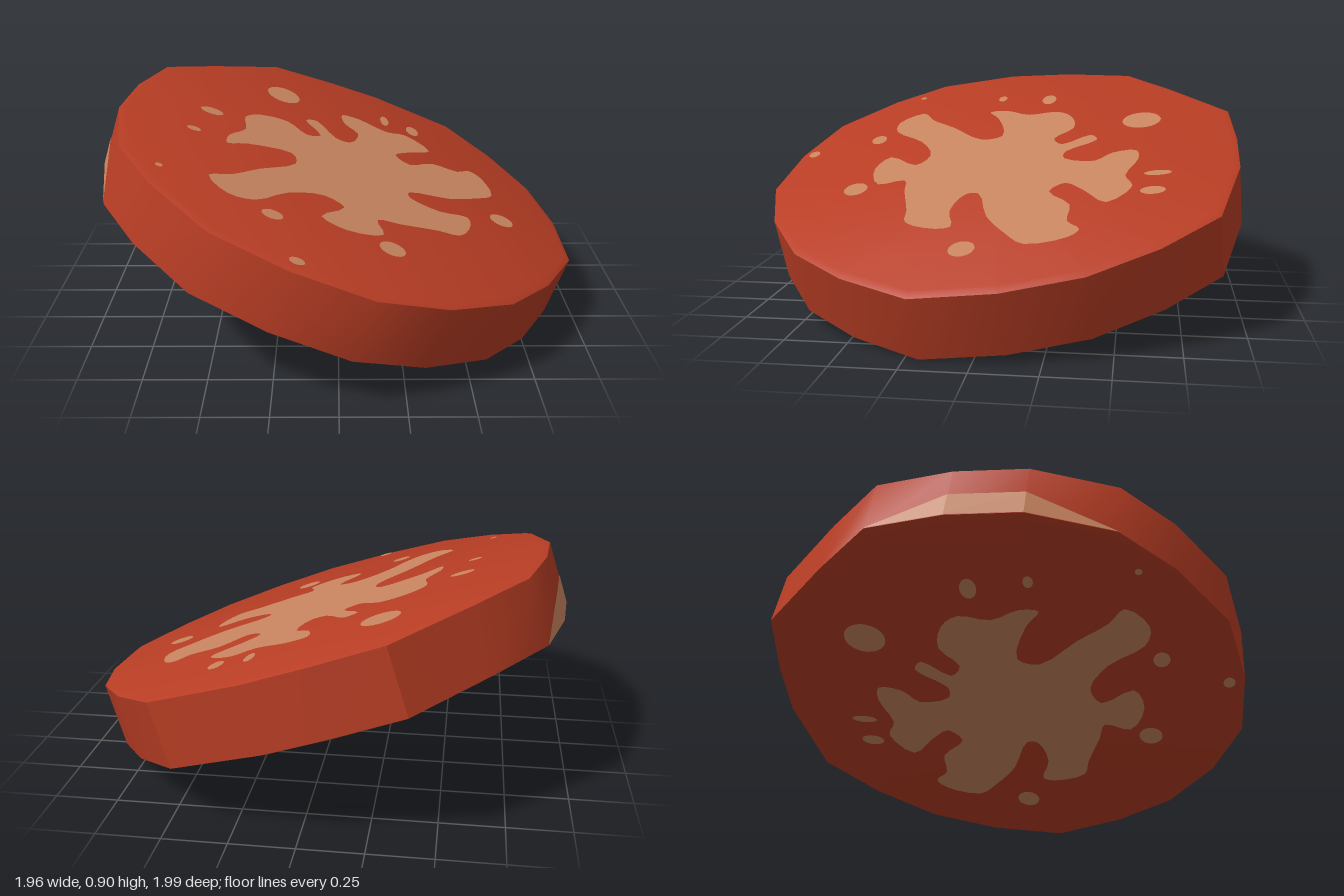
import * as THREE from 'three';
import { toCreasedNormals } from 'three/addons/utils/BufferGeometryUtils.js';

const THICK = 0.264, BEVEL = 0.011;
const CENTRE = [0.03, 0.01];
const AXIS = new THREE.Vector3(0.33, 1, 0.09).normalize();

// Outline of the upper rim seen from above, x and z
const RIM = [
  [-0.31, -0.96], [-0.04, -0.98], [0.2, -0.975], [0.56, -0.88], [0.75, -0.66],
  [0.9, -0.4], [0.97, -0.1], [0.975, 0.22], [0.83, 0.5], [0.65, 0.73],
  [0.4, 0.9], [0.13, 0.99], [-0.17, 0.96], [-0.46, 0.86], [-0.69, 0.64],
  [-0.84, 0.42], [-0.9, 0.08], [-0.87, -0.21], [-0.79, -0.51], [-0.59, -0.71],
];

// Closed outline of the large central spot, x and z
const SPOT = [
  [0.02, -0.56], [0.1, -0.57], [0.23, -0.52], [0.32, -0.55], [0.43, -0.45], [0.33, -0.36],
  [0.26, -0.28], [0.32, -0.22], [0.43, -0.31], [0.55, -0.31], [0.61, -0.36], [0.66, -0.32],
  [0.69, -0.16], [0.61, -0.08], [0.48, 0.01], [0.3, 0.07], [0.3, 0.12], [0.42, 0.165],
  [0.54, 0.14], [0.55, 0.2], [0.49, 0.33], [0.4, 0.345], [0.24, 0.39], [0.15, 0.41],
  [0.17, 0.52], [0.03, 0.57], [-0.07, 0.52], [0.02, 0.39], [-0.06, 0.34], [-0.2, 0.41],
  [-0.32, 0.55], [-0.42, 0.56], [-0.5, 0.46], [-0.42, 0.4], [-0.32, 0.28], [-0.18, 0.13],
  [-0.2, 0.04], [-0.38, 0.08], [-0.46, 0.13], [-0.46, 0.05], [-0.4, -0.06], [-0.41, -0.19],
  [-0.35, -0.26], [-0.23, -0.28], [-0.14, -0.2], [-0.08, -0.24], [-0.15, -0.36], [-0.1, -0.39],
  [-0.01, -0.26], [0.05, -0.26], [0.09, -0.39], [0.03, -0.46],
];

// Small spots: x, z, radius along x, radius along z
const DROPS = [
  [-0.26, -0.58, 0.075, 0.085], [-0.55, -0.14, 0.048, 0.033], [-0.6, 0.09, 0.028, 0.02],
  [-0.68, 0.5, 0.014, 0.014], [-0.25, 0.62, 0.04, 0.034], [-0.15, 0.9, 0.028, 0.024],
  [0.2, 0.61, 0.05, 0.05], [0.7, 0.07, 0.05, 0.05], [0.225, -0.65, 0.02, 0.055],
  [0.36, -0.63, 0.03, 0.05],
];

// A point on the sloping upper plane, moved by t along the axis of the disc
function onSlope(x, z, t, scale = 1) {
  const px = CENTRE[0] + (x - CENTRE[0]) * scale;
  const pz = CENTRE[1] + (z - CENTRE[1]) * scale;
  return new THREE.Vector3(px, 0.5916 - 0.33 * px - 0.09 * pz, pz).addScaledVector(AXIS, t);
}

function discGeometry() {
  const rings = [[0.97, BEVEL], [1, 0], [1, -THICK], [0.97, -THICK - BEVEL]]
    .map(([s, t]) => RIM.map(([x, z]) => onSlope(x, z, t, s)));
  const top = onSlope(...CENTRE, BEVEL), bottom = onSlope(...CENTRE, -THICK - BEVEL);
  const pts = [];
  for (let i = 0; i < RIM.length; i++) {
    const j = (i + 1) % RIM.length;
    pts.push(top, rings[0][j], rings[0][i], bottom, rings[3][i], rings[3][j]);
    for (let k = 0; k < 3; k++) {
      const u = rings[k], l = rings[k + 1];
      pts.push(u[i], u[j], l[j], u[i], l[j], l[i]);
    }
  }
  return toCreasedNormals(new THREE.BufferGeometry().setFromPoints(pts), 0.55);
}

// Lays a flat shape on the slope at height t
function layOnSlope(shape, t) {
  const geo = new THREE.ShapeGeometry(shape, 12);
  const pos = geo.attributes.position;
  for (let i = 0; i < pos.count; i++) {
    const p = onSlope(pos.getX(i), -pos.getY(i), t);
    pos.setXYZ(i, p.x, p.y, p.z);
  }
  geo.computeVertexNormals();
  return geo;
}

export function createModel() {
  const red = new THREE.MeshStandardMaterial({ color: 0xb83d24 });
  red.name = 'brickRed';
  const tan = new THREE.MeshStandardMaterial({ color: 0xc88560, side: THREE.DoubleSide });
  tan.name = 'paleTan';

  const model = new THREE.Group();
  model.name = 'slice';
  const add = (name, geo, mat) => {
    const mesh = new THREE.Mesh(geo, mat);
    mesh.name = name;
    model.add(mesh);
  };

  add('disc', discGeometry(), red);

  // Spots repeated on both faces
  const curve = new THREE.CatmullRomCurve3(SPOT.map(([x, z]) => new THREE.Vector3(x, -z, 0)), true);
  const spot = new THREE.Shape(curve.getPoints(SPOT.length * 3).slice(0, -1)
    .map((p) => new THREE.Vector2(p.x, p.y)));
  const drops = DROPS.map(([x, z, rx, rz]) =>
    new THREE.Shape().absellipse(x, -z, rx, rz, 0, Math.PI * 2));
  for (const [face, t] of [['top', BEVEL + 0.003], ['bottom', -THICK - BEVEL - 0.003]]) {
    add(face + 'Spot', layOnSlope(spot, t), tan);
    drops.forEach((d, i) => add(face + 'Drop' + (i + 1), layOnSlope(d, t), tan));
  }

  // Pale patch on the side wall, along the lower edge
  const wall = (i, h) => onSlope(...RIM[i], -THICK * (1 - h), 1.003);
  const patch = [wall(18, 0), wall(17, 0), wall(17, 0.45), wall(17, 0), wall(16, 0), wall(16, 0.45),
    wall(17, 0), wall(16, 0.45), wall(17, 0.45), wall(16, 0), wall(15, 0), wall(16, 0.45)];
  // Corners are reversed so the patch faces outward
  const patchGeo = new THREE.BufferGeometry().setFromPoints(patch.reverse());
  patchGeo.computeVertexNormals();
  add('sidePatch', patchGeo, tan);

  return model;
}
